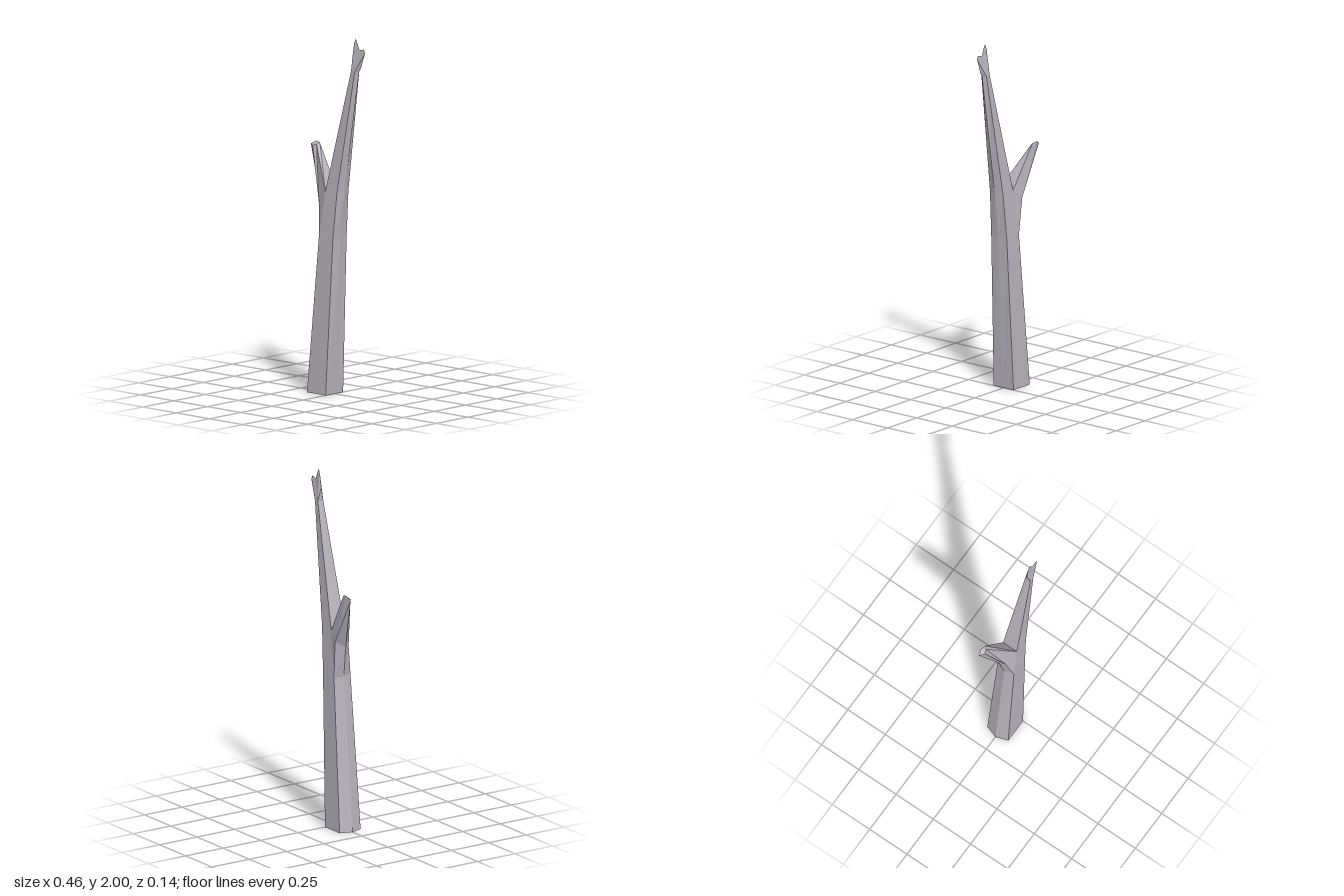
import * as THREE from 'three';

// Flat-shaded mesh from a list of triangles
function facetMesh(name, tris, material) {
  const geo = new THREE.BufferGeometry();
  geo.setAttribute('position', new THREE.Float32BufferAttribute(tris.flat(2), 3));
  geo.computeVertexNormals();
  const mesh = new THREE.Mesh(geo, material);
  mesh.name = name;
  return mesh;
}

// Joins rings of corners, each counterclockwise seen from above
function loft(rings) {
  const tris = [];
  for (let r = 0; r < rings.length - 1; r++) {
    const lo = rings[r], hi = rings[r + 1], n = lo.length;
    for (let i = 0; i < n; i++) {
      const j = (i + 1) % n;
      if (lo[i] !== lo[j]) tris.push([lo[i], lo[j], hi[j]]);
      tris.push([lo[i], hi[j], hi[i]]);
    }
  }
  return tris;
}

// Closes a ring with a fan of triangles
function cap(ring, down) {
  const tris = [];
  for (let i = 1; i < ring.length - 1; i++) {
    tris.push(down ? [ring[0], ring[i + 1], ring[i]] : [ring[0], ring[i], ring[i + 1]]);
  }
  return tris;
}

export function createModel() {
  const wood = new THREE.MeshStandardMaterial({ color: 0xb8b2bc });
  wood.name = 'pale grey wood';
  wood.flatShading = true;
  const model = new THREE.Group();
  model.name = 'deadTree';

  // Trunk: y, left ridge x, left edge x, right edge x, right ridge x, half depth
  const trunkRings = [
    [0, -0.163, -0.14, 0, 0, 0.07],
    [0.87, -0.08, -0.065, 0.04, 0.046, 0.055],
    [1.13, -0.025, -0.025, 0.062, 0.076, 0.046],
    [1.82, 0.14, 0.142, 0.17, 0.186, 0.018],
  ].map(([y, ridgeL, l, r, ridgeR, d]) => [
    [l, y, d], [r, y, d], [ridgeR, y, 0], [r, y, -d], [l, y, -d], [ridgeL, y, 0],
  ]);
  model.add(facetMesh('trunk', [...loft(trunkRings), ...cap(trunkRings[0], true)], wood));

  // Side branch growing out of the trunk's left edge and leaning back
  const [front, , , , back, ridge] = trunkRings[1];
  const branchTip = [
    [-0.203, 1.352, -0.042], [-0.18, 1.36, -0.05], [-0.17, 1.37, -0.065],
    [-0.2, 1.376, -0.071], [-0.232, 1.357, -0.06],
  ];
  const branchRings = [
    [front, front, back, back, ridge],
    [[-0.097, 1.05, 0.02], trunkRings[2][0], trunkRings[2][4], [-0.085, 1.08, -0.062], [-0.112, 1.05, -0.01]],
    branchTip,
  ];
  model.add(facetMesh('sideBranch', [...loft(branchRings), ...cap(branchTip, false)], wood));

  // Forked tip: a wedge from the trunk's top to a thin jagged edge
  const [edgeL, edgeR] = trunkRings[3];
  const rim = (pts) => pts.map(([x, y]) => [x, y, 0]);
  const leftRim = rim([[0.14, 1.82], [0.137, 1.9], [0.148, 1.97], [0.16, 2], [0.173, 1.975], [0.188, 1.938]]);
  const rightRim = rim([[0.188, 1.938], [0.222, 1.946], [0.23, 1.925], [0.213, 1.88], [0.203, 1.845], [0.186, 1.82]]);
  const half = [[edgeL, edgeR, leftRim[5]]];
  for (let i = 0; i < 5; i++) {
    half.push([edgeL, leftRim[i + 1], leftRim[i]], [edgeR, rightRim[i + 1], rightRim[i]]);
  }
  const flip = ([x, y, z]) => [x, y, -z];
  const otherHalf = half.map(([a, b, c]) => [flip(a), flip(c), flip(b)]);
  model.add(facetMesh('forkedTip', [...half, ...otherHalf], wood));

  return model;
}
